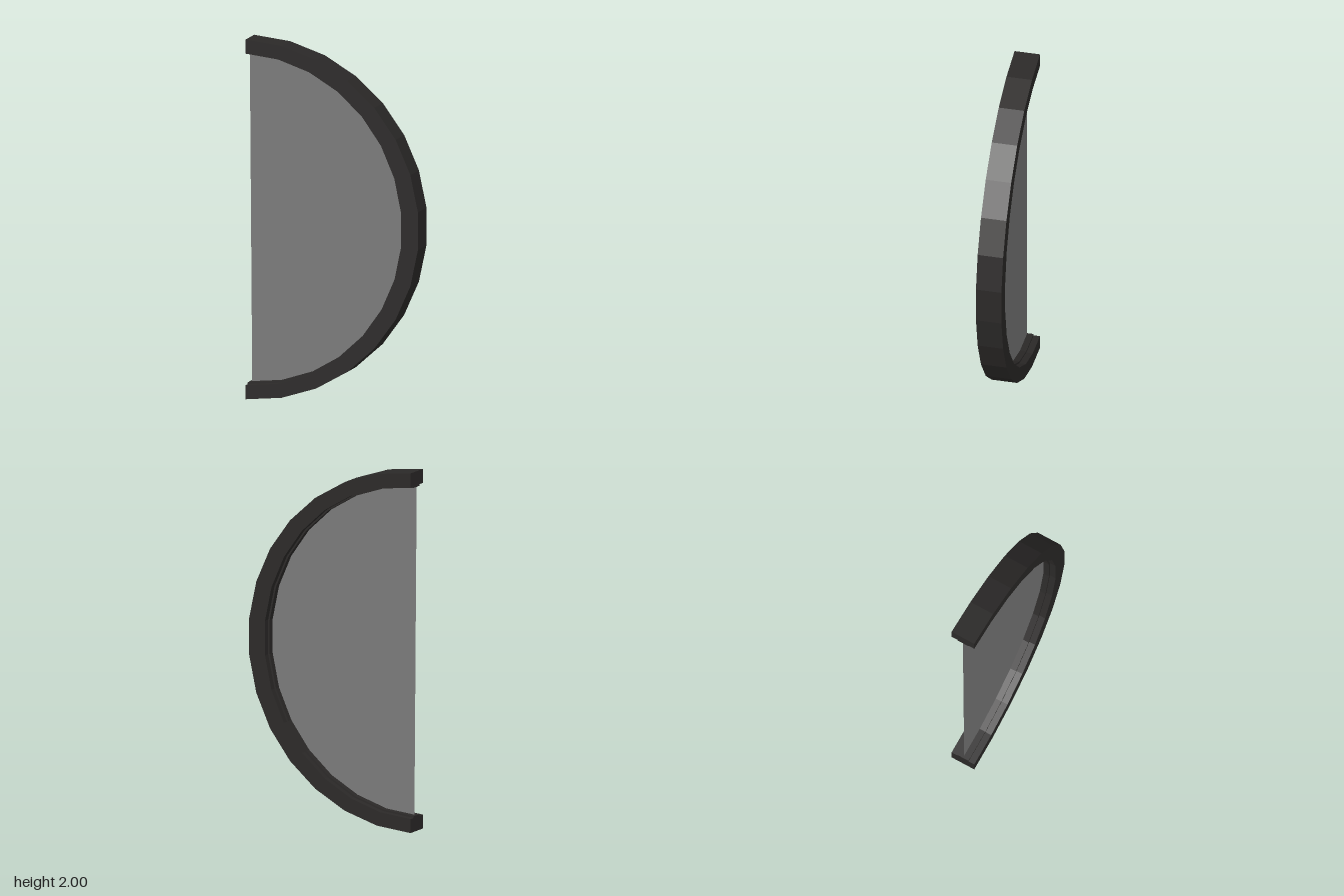
import * as THREE from 'three';

const SEGMENTS = 15;
const CX = -0.497, CY = 1;

// Points of a half ellipse, from the top end round to the bottom end
function arc(a, b) {
  const pts = [];
  for (let i = 0; i <= SEGMENTS; i++) {
    const t = (i / SEGMENTS) * Math.PI;
    pts.push(new THREE.Vector2(CX + a * Math.sin(t), CY + b * Math.cos(t)));
  }
  return pts;
}

// Half ring between two arcs, extruded evenly about z = 0
function halfRing(outer, inner, depth) {
  const shape = new THREE.Shape([...arc(...outer), ...arc(...inner).reverse()]);
  const geo = new THREE.ExtrudeGeometry(shape, { depth, bevelEnabled: false });
  return geo.translate(0, 0, -depth / 2);
}

export function createModel() {
  const group = new THREE.Group();
  const frameMat = new THREE.MeshStandardMaterial({ color: 0x2b2928, flatShading: true });
  const paneMat = new THREE.MeshStandardMaterial({ color: 0x7a7a7a, side: THREE.DoubleSide });

  const add = (name, geo, mat) => {
    const mesh = new THREE.Mesh(geo, mat);
    mesh.name = name;
    group.add(mesh);
  };

  // Curved frame and the narrow lip that holds the pane
  add('frame', halfRing([1, 1], [0.902, 0.922], 0.142), frameMat);
  add('paneLip', halfRing([0.91, 0.93], [0.892, 0.913], 0.07), frameMat);

  // Thin half-round pane; its straight edge leans in slightly at the bottom
  const outline = arc(0.897, 0.917);
  outline[SEGMENTS].x += 0.014;
  add('pane', new THREE.ShapeGeometry(new THREE.Shape(outline)), paneMat);

  return group;
}
